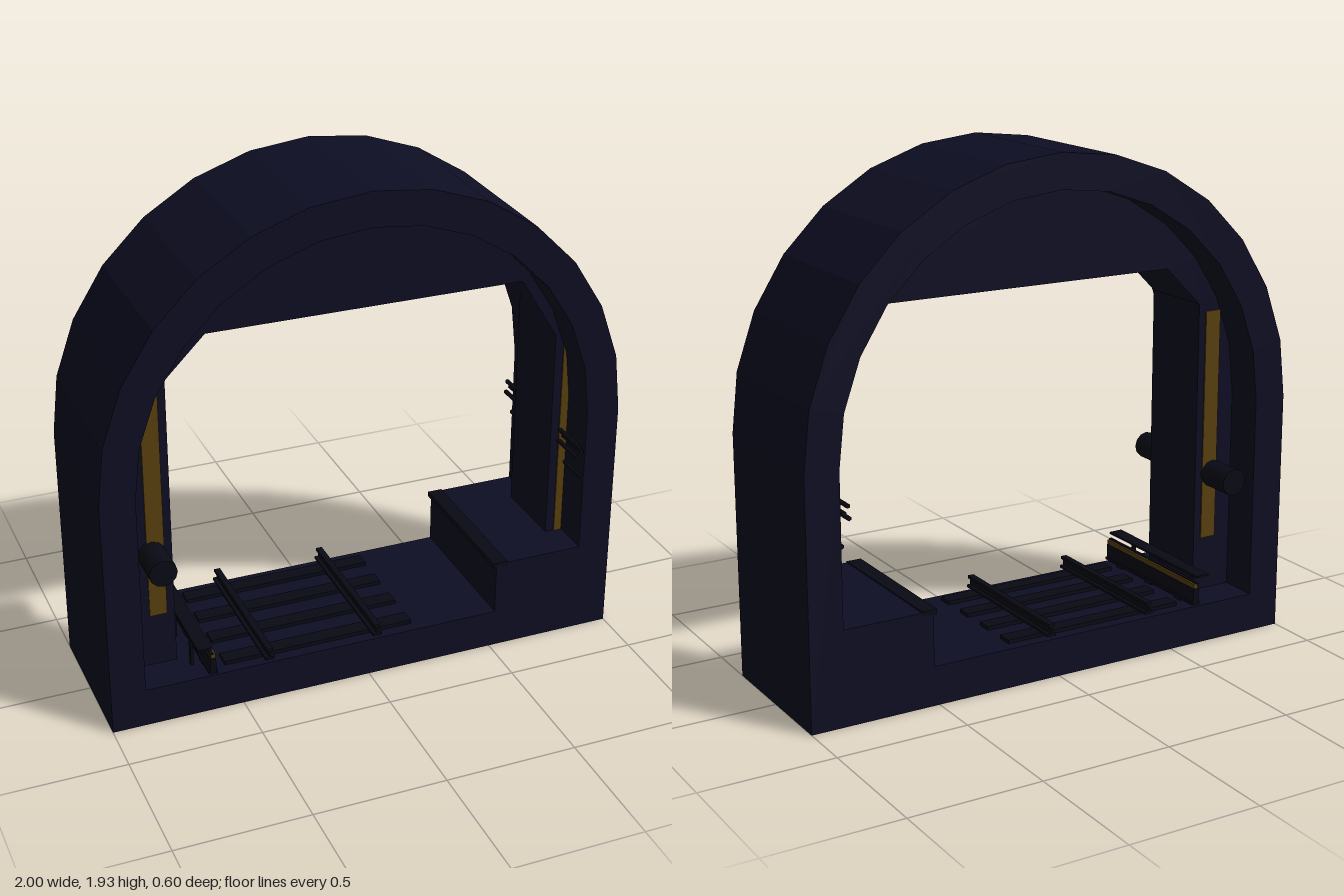
import * as THREE from 'three';

const mat = (name, color) => {
  const m = new THREE.MeshStandardMaterial({ color });
  m.name = name;
  return m;
};

export function createModel() {
  const group = new THREE.Group();
  const concrete = mat('dark navy concrete', 0x0e0e24);
  const metal = mat('near black metal', 0x0a0a16);
  const amber = mat('dim amber', 0x5a420f);

  const add = (name, geometry, material) => {
    const mesh = new THREE.Mesh(geometry, material);
    mesh.name = name;
    group.add(mesh);
    return mesh;
  };
  // Box given by its lower and upper corners
  const box = (name, material, x0, x1, y0, y1, z0 = -0.3, z1 = 0.3) =>
    add(name, new THREE.BoxGeometry(x1 - x0, y1 - y0, z1 - z0), material)
      .position.set((x0 + x1) / 2, (y0 + y1) / 2, (z0 + z1) / 2);
  // Cylinder running along z
  const pipe = (name, x, y, r, sides, length = 0.6) => {
    const m = add(name, new THREE.CylinderGeometry(r, r, length, sides), metal);
    m.rotation.x = Math.PI / 2;
    m.position.set(x, y, 0);
  };
  // Arch outline: straight walls and a fourteen-sided half circle
  const archPoints = (r, base) => {
    const pts = [new THREE.Vector2(r, base)];
    for (let i = 0; i <= 14; i++) {
      const a = (i / 14) * Math.PI;
      pts.push(new THREE.Vector2(r * Math.cos(a), 0.93 + r * Math.sin(a)));
    }
    pts.push(new THREE.Vector2(-r, base));
    return pts;
  };
  const extrude = (shape, depth) =>
    new THREE.ExtrudeGeometry(shape, { depth, bevelEnabled: false }).translate(0, 0, -depth / 2);

  // Tunnel shell with the floor slab
  const shell = new THREE.Shape(archPoints(1, 0));
  shell.holes.push(new THREE.Path(archPoints(0.87, 0.15)));
  add('tunnelShell', extrude(shell, 0.6), concrete);

  // Bulkhead lining with a chamfered opening
  const opening = [
    [-0.705, 0.15], [-0.705, 1.29], [-0.555, 1.44], [0.655, 1.44],
    [0.79, 1.31], [0.803, 1.27], [0.803, 0.15],
  ].map(([x, y]) => new THREE.Vector2(x, y));
  const lining = new THREE.Shape([...archPoints(0.87, 0.15), ...opening]);
  add('bulkhead', extrude(lining, 0.3), concrete);

  // Platform and its raised edge
  box('platform', concrete, 0.52, 0.87, 0.15, 0.36);
  box('platformEdge', metal, 0.507, 0.565, 0.345, 0.365);

  // Amber strips on both faces of the bulkhead
  for (const s of [1, -1]) {
    const z = s * 0.152;
    box('leftStrip', amber, -0.8, -0.735, 0.36, 1.26, z - 0.003, z + 0.003);
    box('rightStrip', amber, 0.837, 0.868, 0.36, 1.2, z - 0.003, z + 0.003);
  }

  // Sleepers
  for (const z of [-0.225, -0.075, 0.075, 0.225])
    box('sleeper', metal, -0.555, 0.19, 0.15, 0.165, z - 0.03, z + 0.03);

  // Running rails: foot, web and head
  for (const x of [-0.395, 0.033]) {
    box('railFoot', metal, x - 0.018, x + 0.018, 0.163, 0.173);
    box('railWeb', metal, x - 0.004, x + 0.004, 0.173, 0.2);
    box('railHead', metal, x - 0.012, x + 0.012, 0.198, 0.21);
  }

  // Power rail with cover, amber contact edge and supports
  box('powerRailFoot', metal, -0.63, -0.596, 0.158, 0.168);
  box('powerRail', metal, -0.624, -0.602, 0.168, 0.222);
  box('powerRailContact', amber, -0.62, -0.604, 0.222, 0.24, -0.298, 0.298);
  box('powerRailCap', metal, -0.624, -0.612, 0.238, 0.245);
  box('powerRailCover', metal, -0.67, -0.615, 0.263, 0.271);
  for (const z of [-0.2, 0, 0.2]) {
    box('coverPost', metal, -0.67, -0.66, 0.15, 0.265, z - 0.01, z + 0.01);
    box('railBlock', metal, -0.63, -0.596, 0.15, 0.16, z - 0.02, z + 0.02);
  }

  // Service pipe and wall cables
  pipe('servicePipe', -0.782, 0.617, 0.052, 12, 0.59);
  for (const [x, y] of [[0.842, 0.8], [0.856, 0.775], [0.838, 0.755], [0.868, 0.66]])
    pipe('wallCable', x, y, 0.009, 6);

  return group;
}
